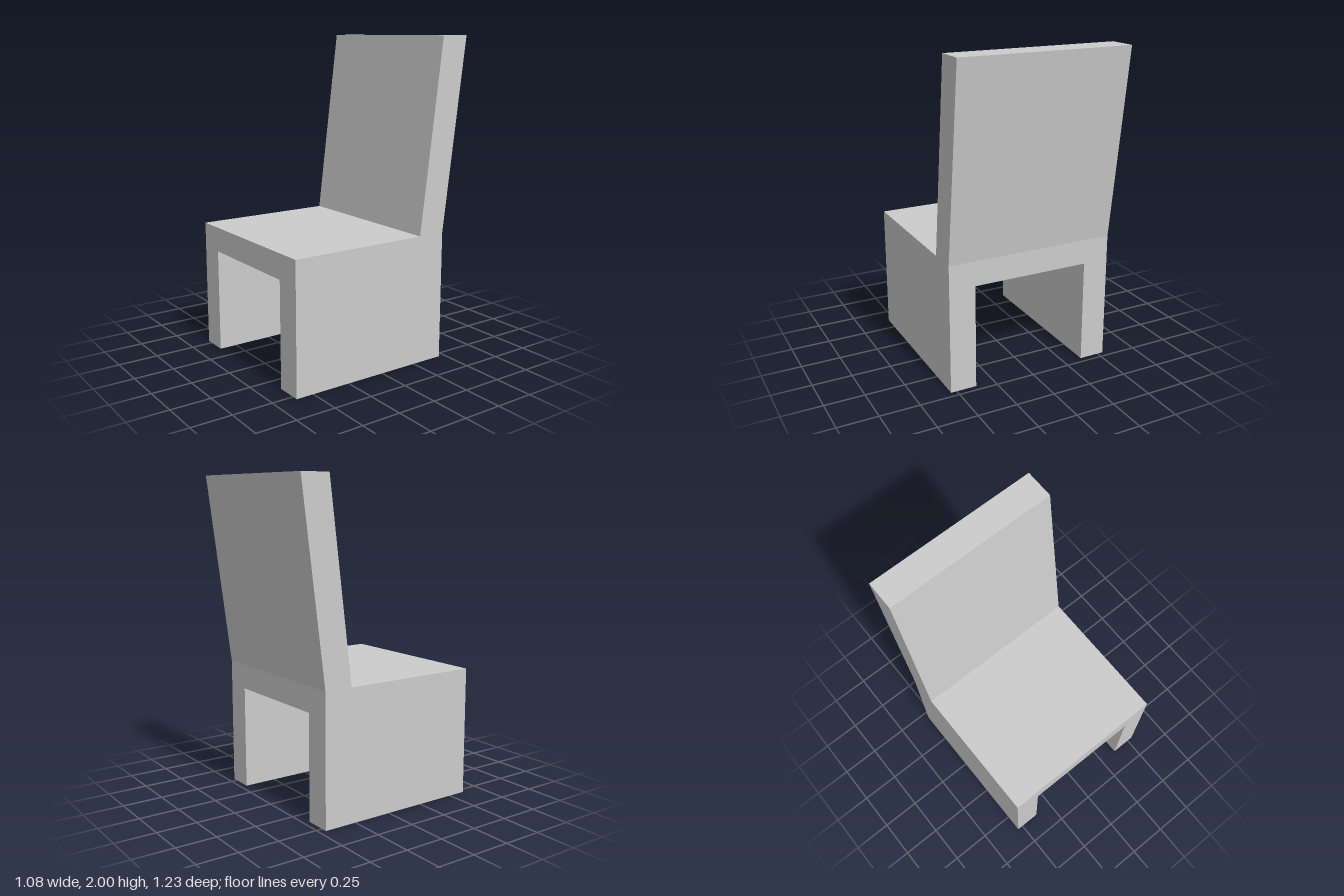
import * as THREE from 'three';

const W = 0.538;            // half width
const INNER = 0.372;        // half width of the opening between the legs
const SEAT = 0.81, UNDER = 0.655, TOP = 2;
const FRONT = 0.613, BACK = -0.46;

// upper outline as [z, y]: seat, backrest front, top edge, backrest rear
const OUTLINE = [[FRONT, SEAT], [-0.28, SEAT], [-0.43, TOP], [-0.613, TOP], [BACK, SEAT]];
// opening between the legs as [x, y]
const ARCH = [[-INNER, 0], [-INNER, UNDER], [INNER, UNDER], [INNER, 0]];

const material = new THREE.MeshStandardMaterial({
  color: 0xcccccc, flatShading: true, side: THREE.DoubleSide,
});

function addMesh(group, name, geometry) {
  const mesh = new THREE.Mesh(geometry, material);
  mesh.name = name;
  group.add(mesh);
  return mesh;
}

// flat four-cornered panel, corners counter-clockwise from its visible side
function quad(...corners) {
  const geometry = new THREE.BufferGeometry();
  geometry.setAttribute('position', new THREE.Float32BufferAttribute(corners.flat(), 3));
  geometry.setIndex([0, 1, 2, 0, 2, 3]);
  geometry.computeVertexNormals();
  return geometry;
}

const outlineShape = (points) =>
  new THREE.ShapeGeometry(new THREE.Shape(points.map(([x, y]) => new THREE.Vector2(x, y))));

export function createModel() {
  const chair = new THREE.Group();
  chair.name = 'chair';

  // side walls, covering leg and backrest edge in one piece
  const profile = [[FRONT, 0], ...OUTLINE, [BACK, 0]];
  for (const [name, s] of [['leftSide', 1], ['rightSide', -1]]) {
    const side = outlineShape(profile.map(([z, y]) => [-s * z, y]));
    side.rotateY(s * Math.PI / 2).translate(s * W, 0, 0);
    addMesh(chair, name, side);
  }

  // arch-shaped front and rear of the base
  const arch = [[-W, 0], ...ARCH, [W, 0], [W, SEAT], [-W, SEAT]];
  addMesh(chair, 'baseFront', outlineShape(arch)).position.z = FRONT;
  addMesh(chair, 'baseRear', outlineShape(arch).rotateY(Math.PI)).position.z = BACK;

  // seat and backrest panels across the width
  ['seat', 'backrestFront', 'backrestTop', 'backrestRear'].forEach((name, i) => {
    const [z0, y0] = OUTLINE[i], [z1, y1] = OUTLINE[i + 1];
    addMesh(chair, name, quad([-W, y0, z0], [W, y0, z0], [W, y1, z1], [-W, y1, z1]));
  });

  // inner legs and seat underside; the legs stay open at the floor
  ['rightLegInner', 'seatUnderside', 'leftLegInner'].forEach((name, i) => {
    const [x0, y0] = ARCH[i], [x1, y1] = ARCH[i + 1];
    addMesh(chair, name, quad([x0, y0, BACK], [x1, y1, BACK], [x1, y1, FRONT], [x0, y0, FRONT]));
  });

  return chair;
}
